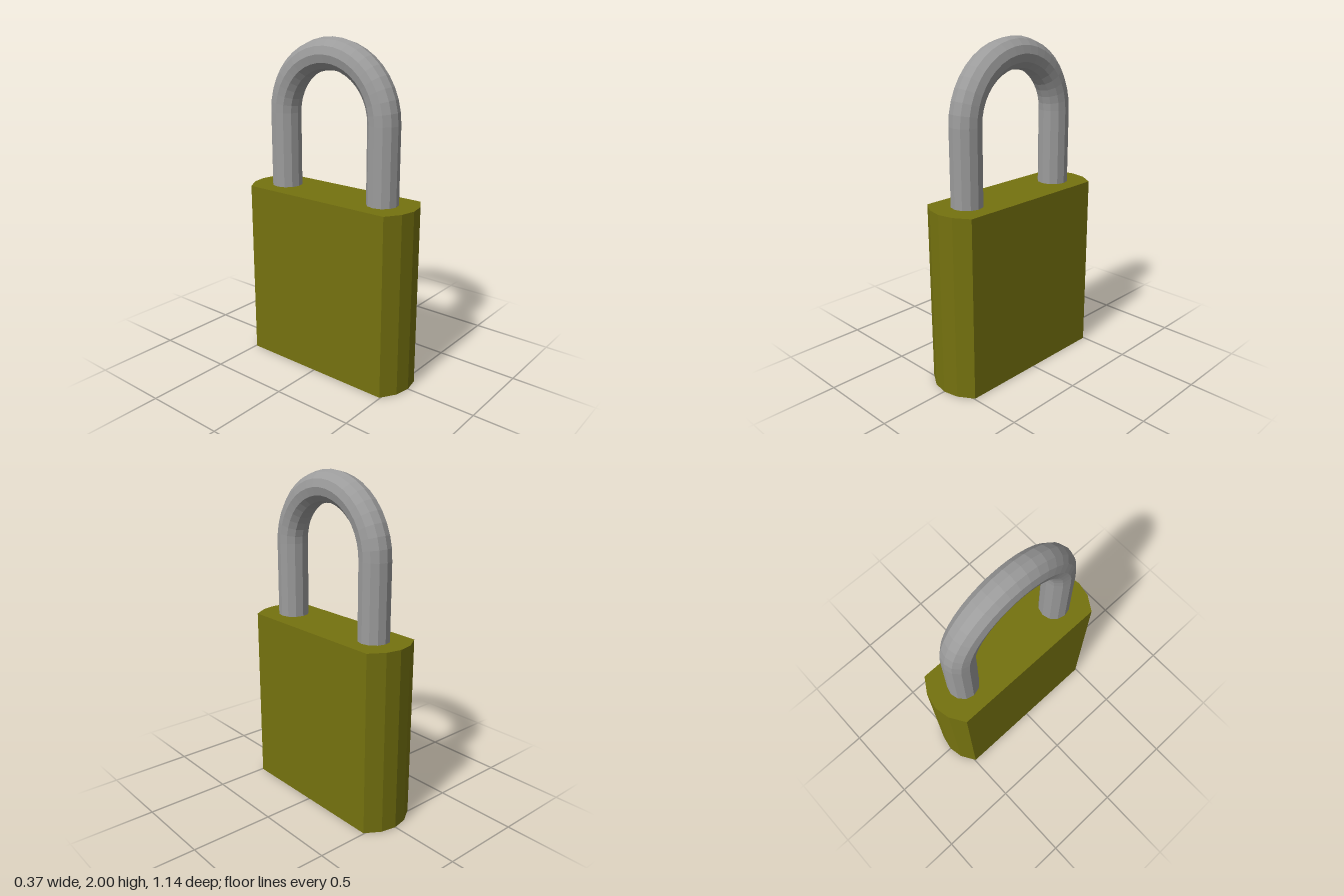
import * as THREE from 'three';

const brass = new THREE.MeshStandardMaterial({ color: 0x75720f, flatShading: true });
brass.name = 'olive brass';
const steel = new THREE.MeshStandardMaterial({ color: 0x9c9c9c, flatShading: true });
steel.name = 'grey steel';

const BODY_TOP = 1.095, LOCK_DEPTH = 0.06, RECESS = 0.02, PLUG_R = 0.14;
const LEG_Z = 0.36, ROD_R = 0.093, ARCH_Y = 1.547;

// Plan outline: long flat sides, faceted rounded ends
function bodyOutline() {
  const end = [[0.183, 0.495], [0.092, 0.553], [0, 0.571], [-0.092, 0.553], [-0.183, 0.495]];
  const pts = [...end, ...end.map(([x, z]) => [-x, -z])];
  return new THREE.Shape(pts.map(([x, z]) => new THREE.Vector2(x, z)));
}

function circle(Type) {
  const path = new Type();
  path.absarc(0, 0, PLUG_R, 0, Math.PI * 2);
  return path;
}

// Zigzag keyway: a centre line widened to both sides
function keyway() {
  const line = [[0.095, 0.022], [0.06, 0.022], [0.035, -0.02], [-0.005, -0.02], [-0.035, 0.018], [-0.06, -0.012], [-0.1, -0.012]];
  const side = (d) => line.map(([x, z]) => new THREE.Vector2(x, -z + d));
  return new THREE.Path([...side(0.013), ...side(-0.013).reverse()]);
}

// Extrudes a plan shape upward from y0 to y1
function slab(name, shape, y0, y1) {
  const geo = new THREE.ExtrudeGeometry(shape, { depth: y1 - y0, bevelEnabled: false, curveSegments: 24 });
  geo.rotateX(-Math.PI / 2);
  const mesh = new THREE.Mesh(geo, brass);
  mesh.name = name;
  mesh.position.y = y0;
  return mesh;
}

export function createModel() {
  const model = new THREE.Group();
  model.name = 'padlock';

  // Body, with a round recess in its underside
  const base = bodyOutline();
  base.holes.push(circle(THREE.Path));
  model.add(slab('bodyBase', base, 0, LOCK_DEPTH));
  model.add(slab('body', bodyOutline(), LOCK_DEPTH, BODY_TOP));

  // Lock plug with keyway, set into the recess
  const plug = circle(THREE.Shape);
  plug.holes.push(keyway());
  model.add(slab('lockPlug', plug, RECESS, LOCK_DEPTH));

  // Shackle: half-ring arch on two straight legs
  const shackle = new THREE.Group();
  shackle.name = 'shackle';
  const arch = new THREE.Mesh(new THREE.TorusGeometry(LEG_Z, ROD_R, 12, 20, Math.PI), steel);
  arch.name = 'shackleArch';
  arch.rotation.y = Math.PI / 2;
  arch.position.y = ARCH_Y;
  shackle.add(arch);
  const legBottom = BODY_TOP - 0.03;
  for (const s of [1, -1]) {
    const leg = new THREE.Mesh(new THREE.CylinderGeometry(ROD_R, ROD_R, ARCH_Y - legBottom, 12, 1, true), steel);
    leg.name = s > 0 ? 'frontLeg' : 'backLeg';
    leg.position.set(0, (ARCH_Y + legBottom) / 2, s * LEG_Z);
    shackle.add(leg);
  }
  model.add(shackle);
  return model;
}
